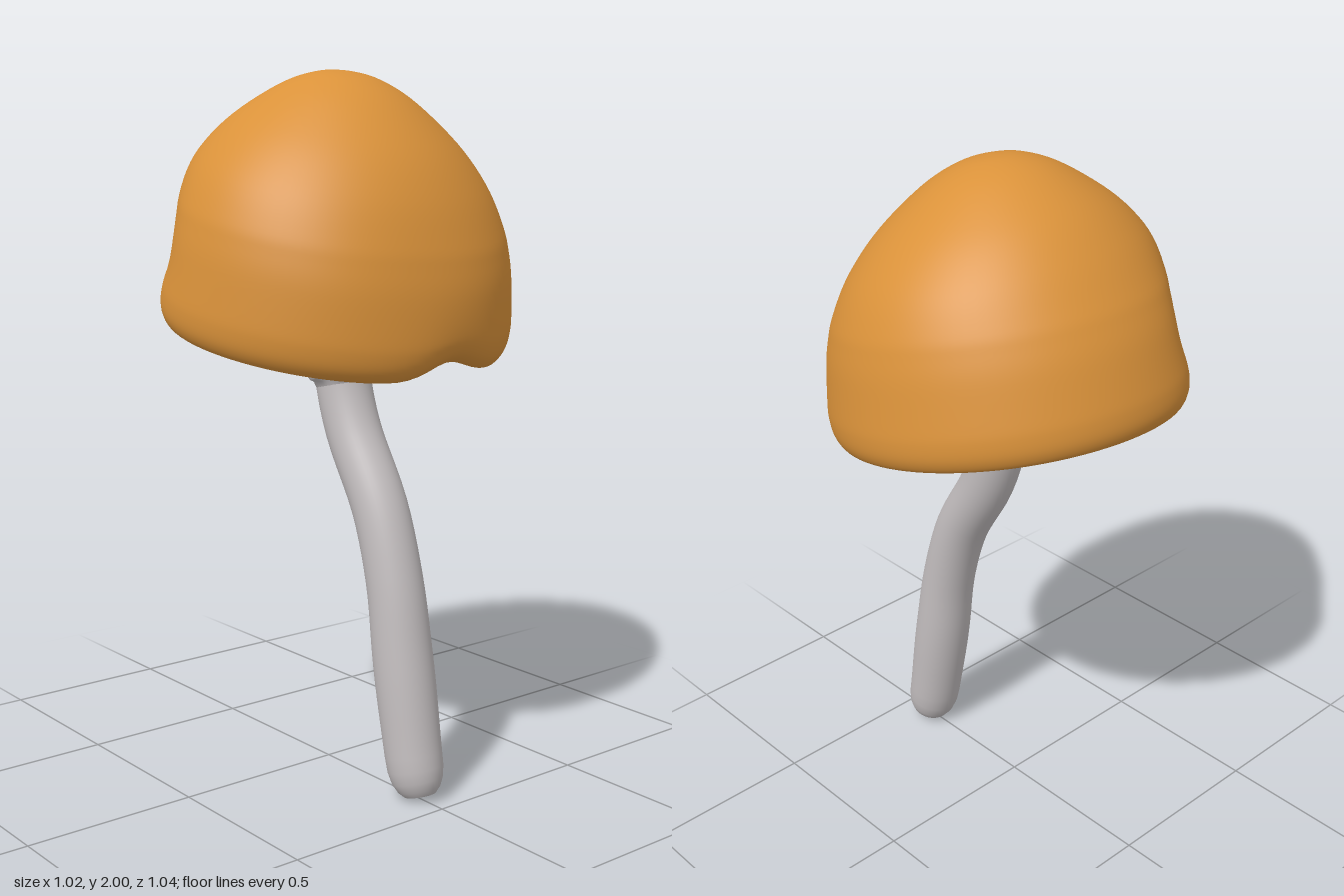
import * as THREE from 'three';
import { mergeVertices } from 'three/addons/utils/BufferGeometryUtils.js';

const mat = (name, color) => Object.assign(new THREE.MeshStandardMaterial({ color }), { name });
const v2 = (pts) => pts.map(([x, y]) => new THREE.Vector2(x, y));

// Lathe whose vertices are moved by a rule, with seamless smooth normals
function shapedLathe(points, segments, rule) {
  let geo = new THREE.LatheGeometry(points, segments);
  geo.deleteAttribute('uv');
  geo.deleteAttribute('normal');
  geo = mergeVertices(geo, 1e-5);
  const pos = geo.attributes.position;
  const v = new THREE.Vector3();
  for (let i = 0; i < pos.count; i++) {
    rule(v.fromBufferAttribute(pos, i));
    pos.setXYZ(i, v.x, v.y, v.z);
  }
  geo.computeVertexNormals();
  return geo;
}

// Soft dents in the cap: centre, spread, inward push, upward lift at the rim
const dents = [
  { c: new THREE.Vector3(-0.31, 0.15, 0.39), spread: 0.14, push: 0.075, lift: 0.08 },
  { c: new THREE.Vector3(0.5, 0.0, -0.05), spread: 0.08, push: 0.02, lift: 0.045 },
  { c: new THREE.Vector3(0.46, 0.28, 0.08), spread: 0.13, push: 0.012, lift: 0 },
];

function dentCap(p) {
  const q = p.clone();
  // Fuller shoulders to the front and back
  p.z *= 1 + 0.06 * Math.exp(-(((q.y - 0.45) / 0.17) ** 2));
  for (const d of dents) {
    const w = Math.exp(-q.distanceToSquared(d.c) / (2 * d.spread * d.spread));
    const r = Math.hypot(d.c.x, d.c.z);
    p.x -= (d.c.x / r) * d.push * w;
    p.z -= (d.c.z / r) * d.push * w;
    p.y += d.lift * w * Math.max(0, 1 - q.y / 0.25);
  }
  // The crown leans a little
  p.x -= 0.05 * (q.y / 0.7) ** 2;
}

// Stem centre line, rising in y
const spine = new THREE.CatmullRomCurve3([
  [0.41, 0.012], [0.385, 0.1], [0.362, 0.22], [0.33, 0.4], [0.295, 0.6], [0.23, 0.8],
  [0.115, 1.0], [0.072, 1.12], [0.058, 1.22], [0.06, 1.35], [0.065, 1.6], [0.066, 1.94],
].map(([x, y]) => new THREE.Vector3(x, y, 0)));

// Bends a vertical lathe vertex onto the centre line at its own height
function bend(p) {
  let lo = 0, hi = 1;
  for (let i = 0; i < 30; i++) {
    const mid = (lo + hi) / 2;
    if (spine.getPoint(mid).y < p.y) lo = mid; else hi = mid;
  }
  const c = spine.getPoint(lo), t = spine.getTangent(lo);
  p.set(c.x + p.x * t.y, c.y - p.x * t.x, p.z);
}

export function createModel() {
  const orange = mat('capOrange', 0xda923a);
  const grey = mat('stemGrey', 0xc2bdbe);
  const tan = mat('stemTan', 0xc2a26c);

  const model = new THREE.Group();
  const add = (parent, name, geo, material) => {
    const mesh = new THREE.Mesh(geo, material);
    mesh.name = name;
    parent.add(mesh);
  };

  // Cap: hollow dome, inner wall down, round the thin rim, and up the outside
  const cap = new THREE.Group();
  cap.name = 'cap';
  cap.position.set(-0.016, 1.286, 0);
  cap.rotation.z = -0.218;
  model.add(cap);

  const inner = [[0, 0.685], [0.16, 0.638], [0.28, 0.545], [0.365, 0.445], [0.45, 0.295],
    [0.477, 0.21], [0.493, 0.12], [0.484, 0.045]];
  const outer = [[0.468, 0.012], [0.477, 0], [0.498, 0.006], [0.514, 0.035], [0.519, 0.075], [0.515, 0.124],
    [0.497, 0.227], [0.475, 0.298], [0.45, 0.355], [0.388, 0.46], [0.303, 0.562], [0.185, 0.656], [0.085, 0.702], [0, 0.714]];
  const wall = new THREE.SplineCurve(v2([...inner, ...outer])).getPoints(110);
  wall[0].x = wall[wall.length - 1].x = 0;
  add(cap, 'capDome', shapedLathe(wall, 96, dentCap), orange);

  // Gill lining: ripples in and out of the inner wall so it shows in small patches
  const lining = new THREE.SplineCurve(v2(inner)).getPoints(60);
  lining[0].x = 0;
  const liningGeo = shapedLathe(lining, 128, (p) => {
    const a = Math.atan2(p.z, p.x);
    const ripple = Math.sin(a * 11 + p.y * 13) * Math.sin(p.y * 26 + a * 3) + 0.5 * Math.sin(a * 23 + p.y * 8);
    const k = 1 - 0.008 * (ripple - 0.45);
    p.x *= k;
    p.z *= k;
    dentCap(p);
  });
  add(cap, 'gillLining', liningGeo, grey);

  // Stem: rounded foot with a flat tip, slightly thicker low down
  const stem = new THREE.Group();
  stem.name = 'stem';
  model.add(stem);
  add(stem, 'stemTip', shapedLathe(v2([[0, 0.013], [0.045, 0.013]]), 40, bend), grey);
  const shaft = [[0.045, 0.013], [0.06, 0.028], [0.072, 0.052], [0.079, 0.085]];
  for (let y = 0.125; y < 1.33; y += 0.04) {
    shaft.push([0.079 + 0.006 * Math.exp(-(((y - 0.35) / 0.2) ** 2)), y]);
  }
  shaft.push([0.079, 1.33]);
  add(stem, 'stemShaft', shapedLathe(v2(shaft), 40, bend), grey);
  const top = [[0.079, 1.33], [0.083, 1.4], [0.09, 1.5], [0.095, 1.65], [0.1, 1.87]];
  add(stem, 'stemTop', shapedLathe(v2(top), 40, bend), tan);

  // Ragged ring left by the veil
  const ring = [[0.077, 1.125], [0.084, 1.145], [0.098, 1.153], [0.104, 1.165], [0.098, 1.178], [0.088, 1.19], [0.082, 1.21], [0.076, 1.24]];
  const ringGeo = shapedLathe(v2(ring), 64, (p) => {
    const a = Math.atan2(p.z, p.x), r = Math.hypot(p.x, p.z);
    const flare = Math.max(0, r - 0.084) / 0.02;
    const k = 1 + flare * (0.05 * Math.sin(a * 4 + 1) + 0.03 * Math.sin(a * 9) - 0.03);
    p.x *= k;
    p.z *= k;
    p.y += flare * 0.006 * Math.sin(a * 5 + 2);
    bend(p);
  });
  add(stem, 'stemRing', ringGeo, grey);

  return model;
}
